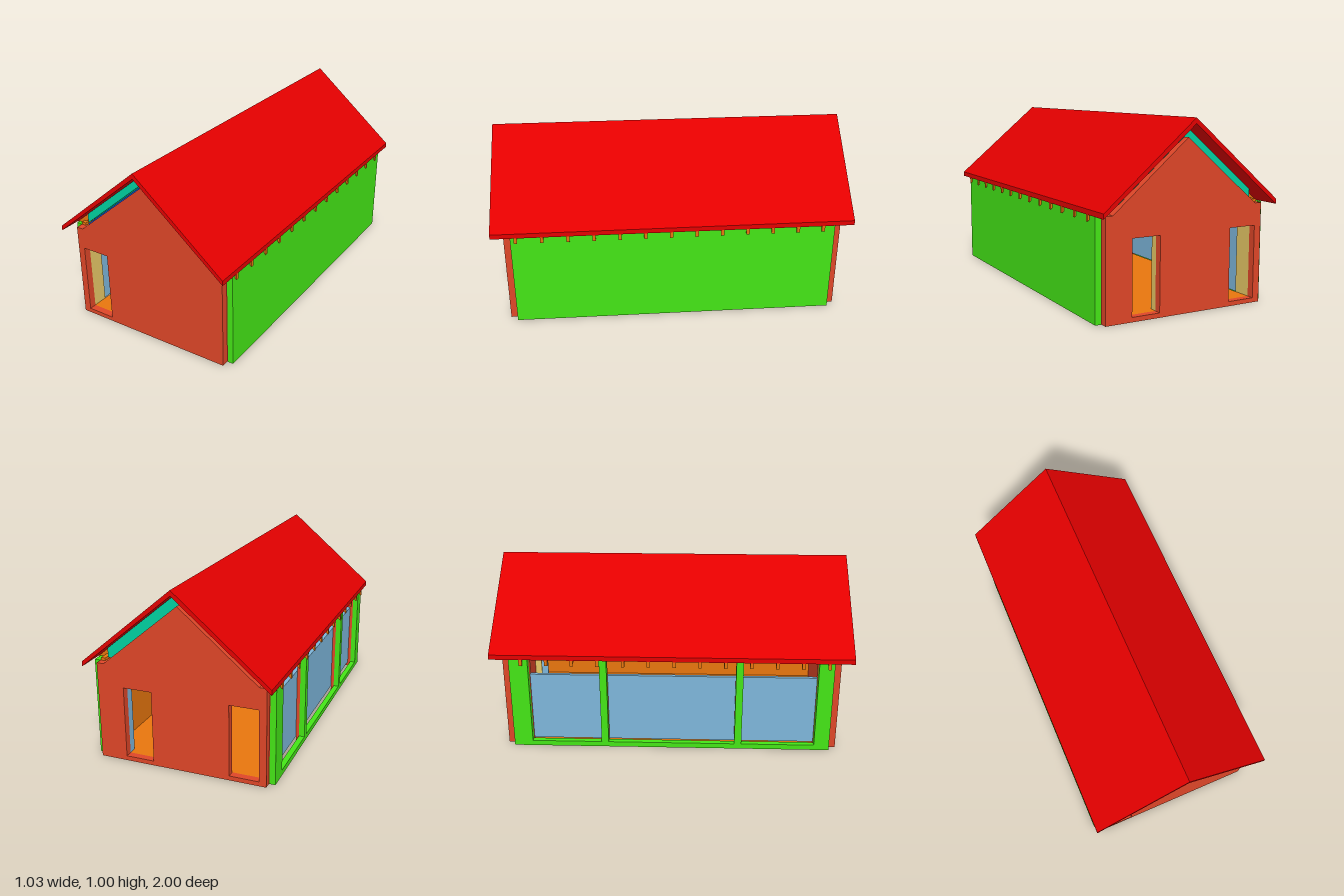
import * as THREE from 'three';

const material = (name, color) => {
  const m = new THREE.MeshStandardMaterial({ color });
  m.name = name;
  return m;
};

export function createModel() {
  const house = new THREE.Group();
  house.name = 'house';
  const red = material('roof red', 0xe30000);
  const brick = material('brick', 0xde4628);
  const green = material('cladding green', 0x44e416);
  const teal = material('insulation teal', 0x00d0a0);
  const orange = material('timber orange', 0xe8760e);
  const tan = material('lining tan', 0xe6c766);
  const paleBlue = material('pane pale blue', 0x7db6da);
  const blue = material('ceiling blue', 0x0450e6);

  const add = (name, geometry, mat) => {
    const mesh = new THREE.Mesh(geometry, mat);
    mesh.name = name;
    house.add(mesh);
    return mesh;
  };
  // Box given by its limits on each axis
  const box = (name, mat, x0, x1, y0, y1, z0, z1) =>
    add(name, new THREE.BoxGeometry(x1 - x0, y1 - y0, z1 - z0), mat)
      .position.set((x0 + x1) / 2, (y0 + y1) / 2, (z0 + z1) / 2);
  // Outline in x and y, extruded from z0 to z1
  const prism = (name, mat, points, z0, z1, holes = []) => {
    const shape = new THREE.Shape(points.map(p => new THREE.Vector2(...p)));
    for (const [x0, x1, y0, y1] of holes) {
      shape.holes.push(new THREE.Path([[x0, y0], [x0, y1], [x1, y1], [x1, y0]]
        .map(p => new THREE.Vector2(...p))));
    }
    const geometry = new THREE.ExtrudeGeometry(shape, { depth: z1 - z0, bevelEnabled: false });
    geometry.translate(0, 0, z0);
    add(name, geometry, mat);
  };

  // Floor slab
  box('floor', orange, -0.43, 0.43, 0, 0.025, -0.895, 0.895);

  // Gable walls: one doorway in front, two at the back
  const gable = [[-0.47, 0], [0.47, 0], [0.47, 0.54], [0.43, 0.54], [0, 0.9], [-0.43, 0.54], [-0.47, 0.54]];
  const sideDoor = [-0.43, -0.27, 0.025, 0.42];
  prism('frontGable', brick, gable, 0.895, 0.935, [sideDoor]);
  prism('backGable', brick, gable, -0.935, -0.895, [sideDoor, [0.16, 0.32, 0.025, 0.42]]);

  // Inner jambs of the second back doorway
  box('doorJamb', tan, 0.152, 0.16, 0.025, 0.42, -0.895, -0.855);
  box('doorJamb', paleBlue, 0.32, 0.328, 0.025, 0.42, -0.895, -0.85);

  // Solid long wall: cladding, brick leaf and inner lining
  box('leftCladding', green, 0.473, 0.505, 0, 0.54, -0.895, 0.895);
  box('leftBrickLeaf', brick, 0.437, 0.473, 0, 0.54, -0.895, 0.895);
  box('leftLining', orange, 0.43, 0.437, 0.025, 0.54, -0.895, 0.895);

  // Open long wall: sill, end panels and posts
  box('rightSill', green, -0.505, -0.473, 0, 0.03, -0.8, 0.81);
  const posts = [[-0.895, -0.79], [-0.395, -0.355], [0.36, 0.4], [0.81, 0.895]];
  posts.forEach(([z0, z1], i) => {
    const end = i === 0 || i === 3;
    box('rightPost', green, -0.505, -0.473, 0, 0.54, z0, z1);
    box('rightBrickPost', brick, -0.473, end ? -0.437 : -0.455, 0, 0.54, z0, z1);
    if (end) box('rightLining', tan, -0.437, -0.43, 0.025, 0.54, z0, z1);
  });
  // Long pane running behind the middle posts
  box('pane', paleBlue, -0.455, -0.435, 0.025, 0.425, -0.79, 0.81);

  // Wall plates
  for (const s of [-1, 1]) {
    box('wallPlate', orange, s * 0.455 - 0.013, s * 0.455 + 0.013, 0.54, 0.555, -0.895, 0.895);
  }

  // Roof covering
  prism('roof', red, [[-0.516, 0.538], [-0.516, 0.565], [0, 1], [0.516, 0.565], [0.516, 0.538], [0, 0.97]], -1, 1);

  // Rafters with tails showing under the eaves
  const rafter = [[-0.515, 0.503], [-0.515, 0.538], [0, 0.969], [0.515, 0.538], [0.515, 0.503], [0, 0.935]];
  for (let i = 0; i < 13; i++) {
    const z = 0.865 - i * 0.141;
    prism('rafter', orange, rafter, z - 0.009, z + 0.009);
  }

  // Insulation below the roof covering, and the ceiling on one slope
  prism('insulation', teal, [[-0.43, 0.556], [-0.43, 0.609], [0, 0.968], [0.43, 0.609],
    [0.43, 0.558], [0.385, 0.558], [0, 0.88], [-0.03, 0.894]], -0.885, 0.885);
  prism('ceiling', blue, [[-0.43, 0.535], [-0.025, 0.874], [-0.025, 0.89], [-0.43, 0.551]], -0.885, 0.885);

  return house;
}
